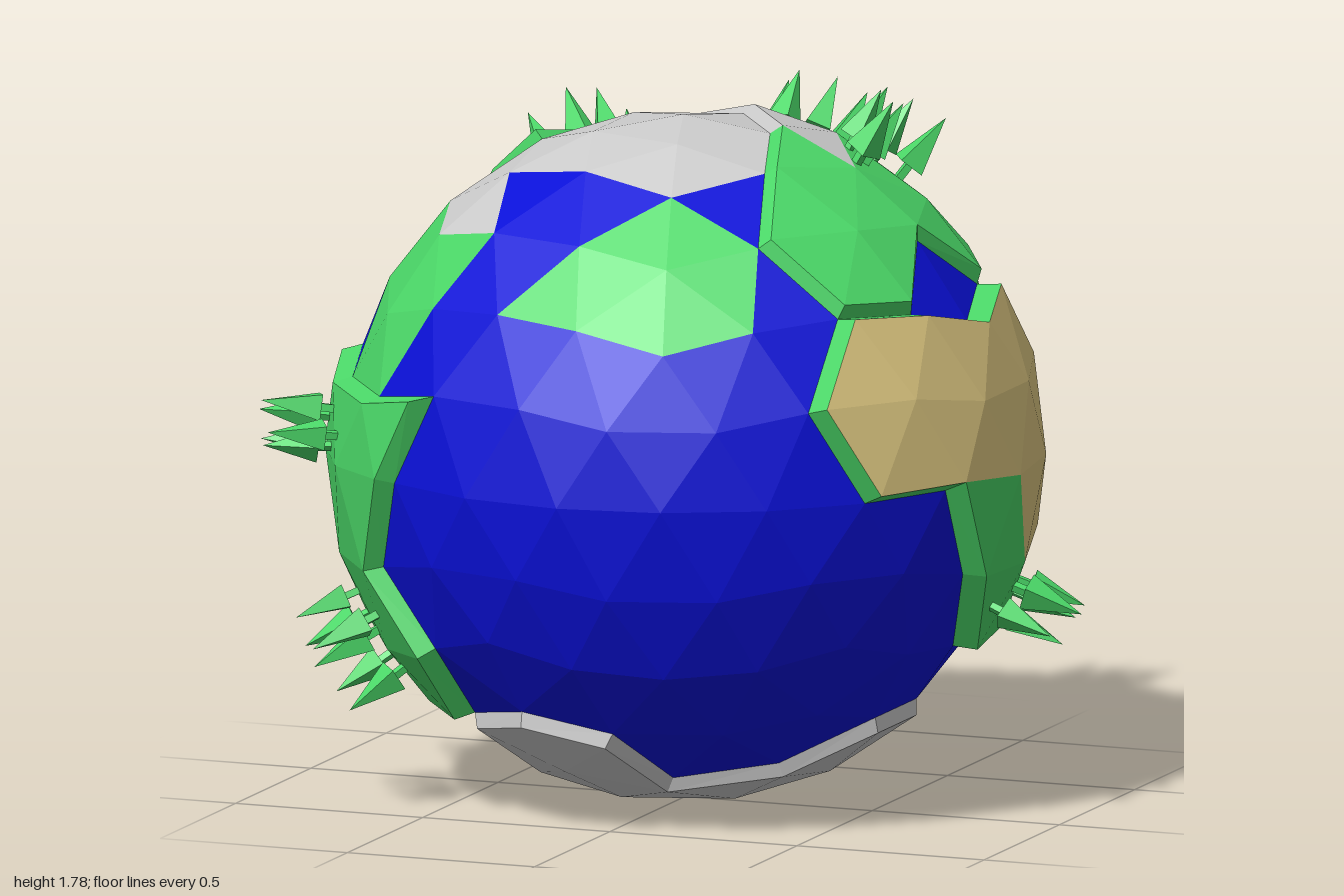
import * as THREE from 'three';

const R = 0.846, CENTRE = new THREE.Vector3(-0.004, 0.882, 0), INSET = 0.025;
const paint = (color) => new THREE.MeshStandardMaterial({ color, flatShading: true });
const MATERIALS = {
  ocean: paint(0x0a10d8), grass: paint(0x4bd868), sand: paint(0xdcc680), ice: paint(0xcccccc),
};

// Unit direction from a height (sine of latitude) and a heading in degrees
function direction(y, degrees) {
  const a = THREE.MathUtils.degToRad(degrees), r = Math.sqrt(1 - y * y);
  return new THREE.Vector3(r * Math.cos(a), y, r * Math.sin(a));
}

// Rings of globe vertices by height; lower case means the southern ring
const RINGS = { A: 0.962, C: 0.894, M: 0.851, D: 0.724, B: 0.674, N: 0.526, E: 0.506, U: 0.447, F: 0.277, G: 0.232, H: 0 };
const outline = (text) => text.split(' ').map((s) => {
  const ring = s[0].toUpperCase();
  return direction(RINGS[ring] * (ring === s[0] ? 1 : -1), parseFloat(s.slice(1)));
});

// Raised land: outline, height, top surface and differently covered areas
const LANDS = [
  { name: 'eastContinent', raise: 0.055, top: 'grass',
    edge: 'N36 E17.5 U0 E-17.5 F-26.3 H-36 g-26.5 e-18.5 n0 f9.7 H18 H36 F45.7',
    cover: [['sand', 'N36 E17.5 U0 E-17.5 F-26.3 H-36 g-26.5 f-9.7 H0 H18 H36 F45.7']] },
  { name: 'northContinent', raise: 0.028, top: 'grass',
    edge: 'H-72 H-90 F-98.3 F-117.7 E-126.5 U-144 E-161.5 D-166.4 C180 M-144 C-108 A-72 A0 C36 D49.6 N36 E17.5 B0 E-17.5 N-36 F-45.7 G-62.5',
    cover: [['ice', 'M-144 D-121.6 C-108'], ['ice', 'A-72 C-108 M-72 C-36 M0 A0']] },
  { name: 'westContinent', raise: 0.045, top: 'grass', cover: [],
    edge: 'F117.7 G134.5 G153.5 F170.3 H180 g170.5 e162.5 d157.6 d130.4 e125.5 f134.3 H126' },
  { name: 'southIsland', raise: 0.035, top: 'grass', cover: [],
    edge: 'H-126 H-144 f-153.7 e-162.5 d-157.6 d-130.4 b-108 u-108 g-117.5' },
  { name: 'southIceCap', raise: 0.03, top: 'ice', cover: [],
    edge: 'd130.4 b108 d85.6 c72 m36 d13.6 d-13.6 m-36 d-58.4 d-85.6 m-108 c-144 m180 c144' },
];

// Areas level with the ocean
const FLATS = [
  ['ice', 'M-144 C-108 A-72 A0 C36 M72 C108 M144 D121.6 B144 D166.4 D-166.4 C180'],
  ['ice', 'M144 D121.6 B144 D166.4'],
  ['grass', 'N108 D94.4 M72 D49.6 E54.5 U72 E89.5'],
  ['grass', 'D166.4 B144 D121.6 E126.5 G134.5 G153.5 E161.5'],
];

// Groves: land height, then [height, heading] of each tree
const GROVES = [
  [0.028, [[0.86, -38], [0.83, -33], [0.78, -30], [0.88, -22], [0.85, -16], [0.86, -8]]],
  [0.028, [[0.8, -87], [0.77, -78], [0.77, -69], [0.84, -81], [0.82, -72]]],
  [0.028, [[0.71, -144], [0.77, -138], [0.75, -130], [0.7, -123], [0.7, -135]]],
  [0.045, [[0.02, 160], [0.1, 157], [0.14, 151], [0.03, 152], [0.08, 146]]],
  [0.045, [[-0.38, 150], [-0.46, 155], [-0.48, 146], [-0.56, 150], [-0.58, 142], [-0.42, 140]]],
  [0.035, [[-0.33, -131], [-0.3, -141], [-0.38, -148], [-0.44, -139], [-0.46, -129], [-0.45, -152]]],
  [0.055, [[-0.38, 0], [-0.42, -8], [-0.35, -10], [-0.38, -15], [-0.36, -19]]],
];

// Icosahedron with a vertex at each pole, split twice
function globeFaces() {
  const v = [direction(1, 0), direction(-1, 0)];
  for (let k = 0; k < 5; k++) v.push(direction(0.44721, 72 * k), direction(-0.44721, 36 + 72 * k));
  let faces = [];
  const near = (a, b) => a.distanceTo(b) < 1.1;
  for (let i = 0; i < 12; i++) for (let j = i + 1; j < 12; j++) for (let k = j + 1; k < 12; k++) {
    const [a, b, c] = [v[i], v[j], v[k]];
    if (!near(a, b) || !near(b, c) || !near(a, c)) continue;
    faces.push(a.dot(b.clone().cross(c)) > 0 ? [a, b, c] : [a, c, b]);
  }
  const mid = (a, b) => a.clone().add(b).normalize();
  for (let n = 0; n < 2; n++) faces = faces.flatMap(([a, b, c]) => {
    const ab = mid(a, b), bc = mid(b, c), ca = mid(c, a);
    return [[a, ab, ca], [ab, b, bc], [ca, bc, c], [ab, bc, ca]];
  });
  return faces;
}

// Whether a face centre lies inside an outline on the sphere (winding number)
function inside(face, loop) {
  const c = face[0].clone().add(face[1]).add(face[2]).normalize();
  const sum = loop.reduce((s, p) => s.add(p), new THREE.Vector3());
  if (sum.dot(c) < 0) return false;
  const e1 = face[0].clone().sub(c).projectOnPlane(c).normalize(), e2 = c.clone().cross(e1);
  const angles = loop.map((p) => Math.atan2(p.dot(e2), p.dot(e1)));
  let turn = 0;
  angles.forEach((a, i) => {
    const d = angles[(i + 1) % angles.length] - a;
    turn += Math.atan2(Math.sin(d), Math.cos(d));
  });
  return Math.abs(turn) > 3;
}

const key = (p) => p.toArray().map((n) => Math.round(n * 500)).join();

function surface(name, triangles, material) {
  const geometry = new THREE.BufferGeometry().setFromPoints(triangles.flat());
  geometry.computeVertexNormals();
  const mesh = new THREE.Mesh(geometry, MATERIALS[material]);
  mesh.name = name;
  return mesh;
}

// Raised plateau with sloping walls around its border
function createLand(land, faces) {
  const edges = new Map(), shift = new Map(), parts = {};
  const add = (material, ...tris) => (parts[material] ??= []).push(...tris);
  const covers = land.cover.map(([m, text]) => [m, outline(text)]);
  const topOf = (f) => covers.find(([, loop]) => inside(f, loop))?.[0] ?? land.top;
  for (const f of faces) for (let i = 0; i < 3; i++) {
    const a = f[i], b = f[(i + 1) % 3], back = key(b) + '|' + key(a);
    if (!edges.delete(back)) edges.set(key(a) + '|' + key(b), { a, b, f });
  }
  // inward direction at every border vertex
  for (const { a, b } of edges.values()) {
    const n = a.clone().add(b).cross(b.clone().sub(a)).normalize();
    for (const p of [a, b]) shift.set(key(p), [...(shift.get(key(p)) ?? []), n]);
  }
  const high = (p) => {
    const q = p.clone().multiplyScalar(R + land.raise), n = shift.get(key(p));
    if (!n || n.length !== 2) return q;
    const s = INSET / Math.max(0.5, 1 + n[0].dot(n[1]));
    return q.addScaledVector(n[0], s).addScaledVector(n[1], s);
  };
  const low = (p) => p.clone().multiplyScalar(R);
  for (const f of faces) add(topOf(f), f.map(high));
  for (const { a, b, f } of edges.values()) {
    const top = topOf(f);
    add(top === 'sand' ? 'grass' : top, [low(a), low(b), high(b)], [low(a), high(b), high(a)]);
  }
  const group = new THREE.Group();
  group.name = land.name;
  for (const m in parts) group.add(surface(land.name + '_' + m, parts[m], m));
  return group;
}

// Tree: short trunk and four-sided crown, standing along the radius
const trunkShape = new THREE.CylinderGeometry(0.013, 0.013, 0.06, 4).translate(0, 0.015, 0);
const crownShape = new THREE.ConeGeometry(0.044, 0.14, 4).translate(0, 0.105, 0);
function createTree(up, raise, size, spin) {
  const tree = new THREE.Group();
  tree.name = 'tree';
  for (const [name, shape] of [['trunk', trunkShape], ['crown', crownShape]]) {
    const mesh = new THREE.Mesh(shape, MATERIALS.grass);
    mesh.name = name;
    mesh.rotation.y = spin;
    tree.add(mesh);
  }
  tree.quaternion.setFromUnitVectors(new THREE.Vector3(0, 1, 0), up);
  tree.position.copy(up).multiplyScalar(R + raise - 0.01);
  tree.scale.setScalar(size);
  return tree;
}

export function createModel() {
  const model = new THREE.Group();
  model.name = 'planet';
  const globe = new THREE.Group();
  globe.name = 'globe';
  globe.position.copy(CENTRE);
  model.add(globe);

  // Sort the globe's faces into raised land, level areas and ocean
  let rest = globeFaces();
  for (const land of LANDS) {
    const loop = outline(land.edge);
    globe.add(createLand(land, rest.filter((f) => inside(f, loop))));
    rest = rest.filter((f) => !inside(f, loop));
  }
  const level = { ocean: [], grass: [], ice: [] };
  const flats = FLATS.map(([m, text]) => [m, outline(text)]);
  for (const f of rest) {
    const material = flats.find(([, loop]) => inside(f, loop))?.[0] ?? 'ocean';
    level[material].push(f.map((p) => p.clone().multiplyScalar(R)));
  }
  globe.add(surface('ocean', level.ocean, 'ocean'));
  globe.add(surface('lowland', level.grass, 'grass'));
  globe.add(surface('northIceCap', level.ice, 'ice'));

  for (const [raise, spots] of GROVES) {
    const grove = new THREE.Group();
    grove.name = 'grove';
    spots.forEach(([y, a], i) => grove.add(createTree(direction(y, a), raise, 0.96 + 0.05 * (i % 3), i * 0.7)));
    globe.add(grove);
  }
  return model;
}
